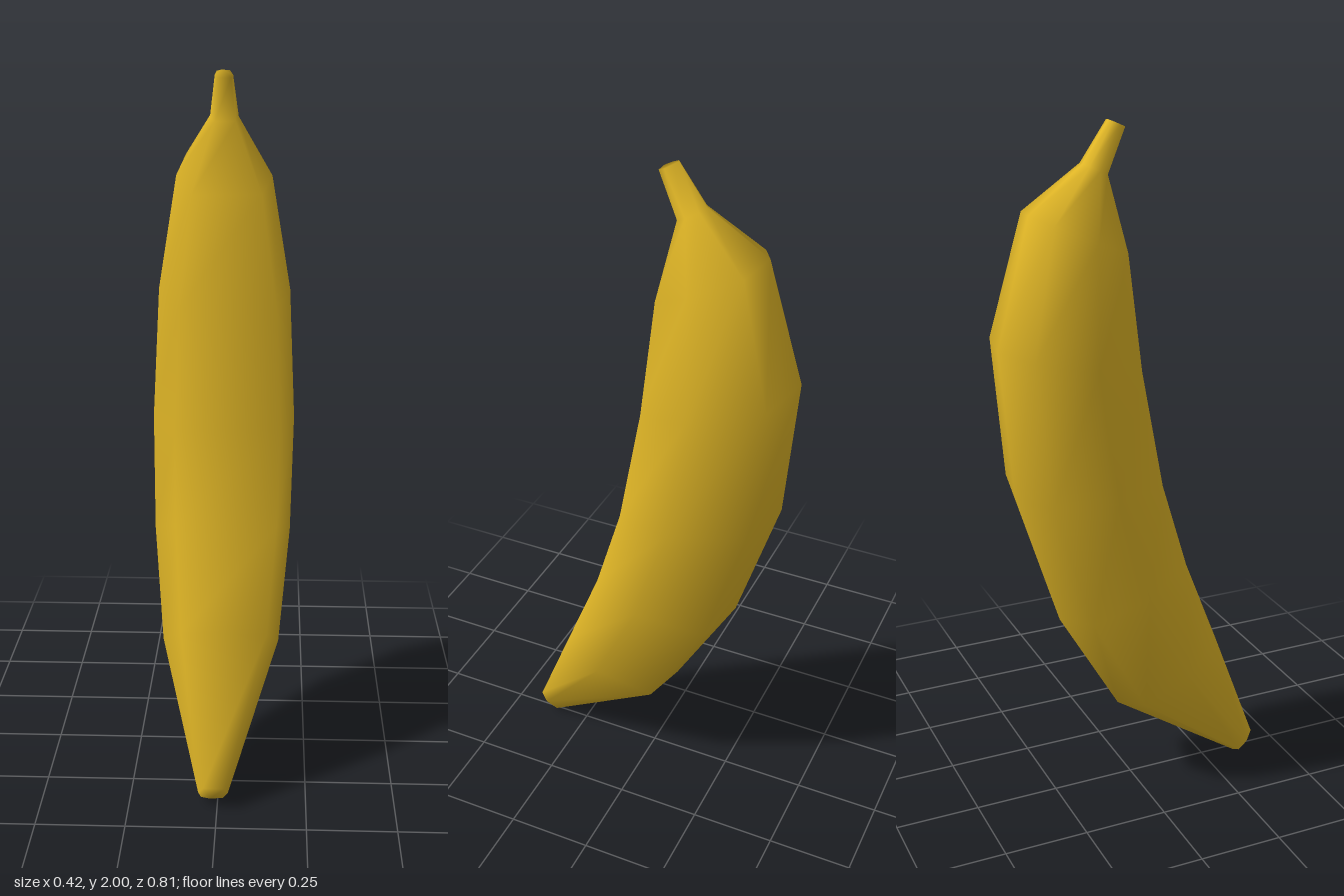
import * as THREE from 'three';

// Seven-sided cross-section, broad and flat at the front: [sideways, towards the back]
const PROFILE = [
  [-0.25, 1], [0.63, 0.82], [1, -0.2], [0.8, -0.96],
  [-0.65, -1], [-1, -0.2], [-0.84, 0.68],
];
const SIDES = PROFILE.length;

// Cross-sections from blossom end to stem: [front z, front y, back z, back y, half width, centre x]
const SECTIONS = [
  [0.405, 0.065, 0.35, 0.0, 0.042, -0.012],
  [0.235, 0.46, -0.06, 0.28, 0.168, 0],
  [0.12, 0.74, -0.245, 0.6, 0.199, 0],
  [0.04, 1.0, -0.37, 1.0, 0.208, 0],
  [-0.02, 1.34, -0.405, 1.42, 0.192, 0],
  [-0.045, 1.66, -0.305, 1.77, 0.137, 0],
  [-0.075, 1.86, -0.14, 1.89, 0.04, 0.002],
  [-0.02, 1.98, -0.065, 2.0, 0.025, 0.003],
];

// One ring, running from the back round by +x to the front
function ring([fz, fy, bz, by, halfWidth, cx]) {
  return PROFILE.map(([side, back]) => [
    cx + side * halfWidth,
    (fy + by) / 2 + ((by - fy) * back) / 2,
    (fz + bz) / 2 + ((bz - fz) * back) / 2,
  ]);
}

// Smooth closed skin joining neighbouring rings, with both ends filled
function skin(rings) {
  const index = [];
  for (let i = 0; i < rings.length - 1; i++) {
    for (let j = 0; j < SIDES; j++) {
      const a = i * SIDES + j;
      const b = i * SIDES + ((j + 1) % SIDES);
      index.push(b, a, a + SIDES, b, a + SIDES, b + SIDES);
    }
  }
  const top = (rings.length - 1) * SIDES;
  for (let j = 1; j < SIDES - 1; j++) {
    index.push(0, j, j + 1);
    index.push(top, top + j + 1, top + j);
  }
  const geometry = new THREE.BufferGeometry();
  geometry.setAttribute('position', new THREE.Float32BufferAttribute(rings.flat(2), 3));
  geometry.setIndex(index);
  geometry.computeVertexNormals();
  return geometry;
}

export function createModel() {
  const yellow = new THREE.MeshStandardMaterial({ color: 0xdfb526 });
  yellow.name = 'bananaYellow';

  const peel = new THREE.Mesh(skin(SECTIONS.map(ring)), yellow);
  peel.name = 'peel';

  const group = new THREE.Group();
  group.name = 'banana';
  group.add(peel);
  return group;
}
